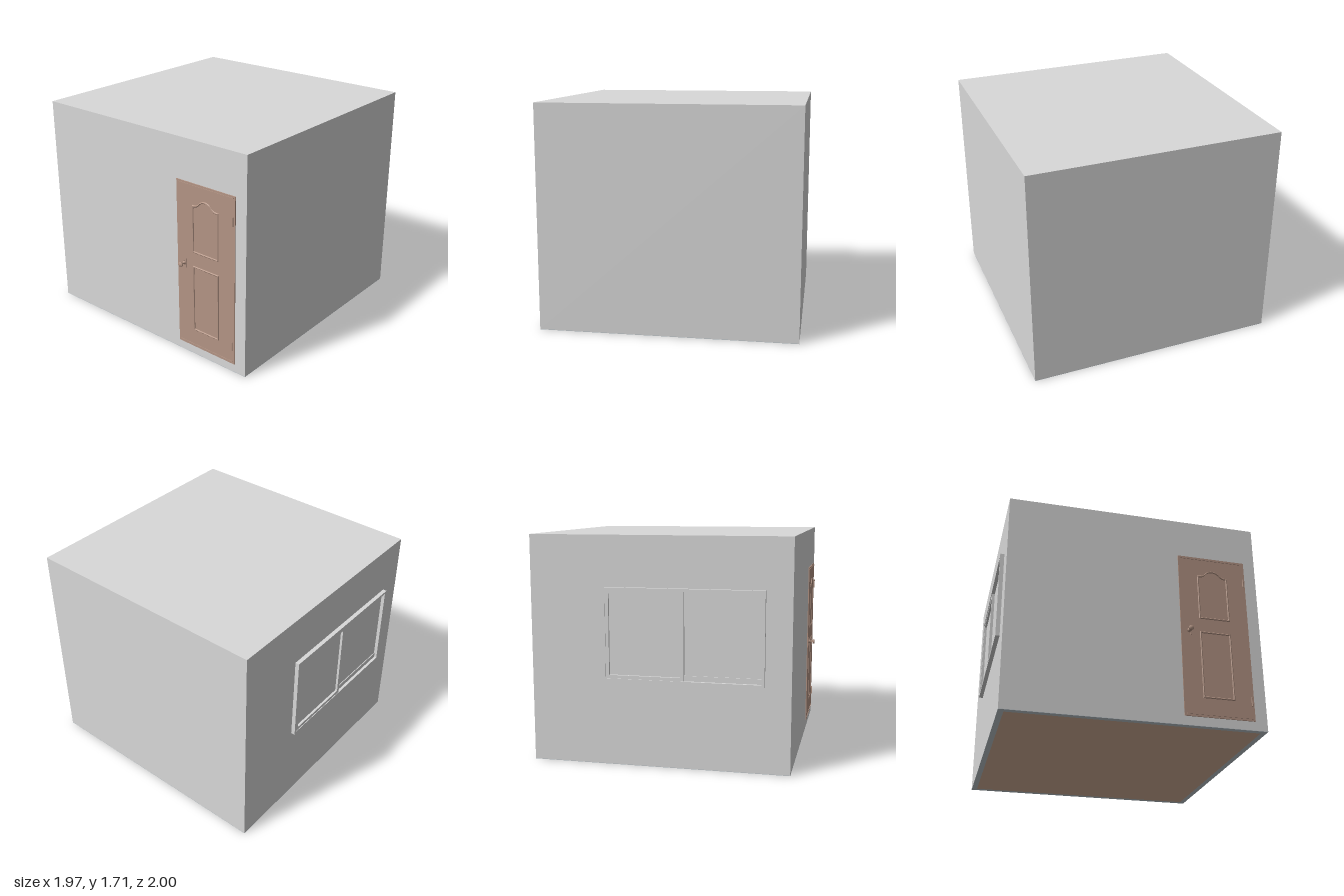
import * as THREE from 'three';

const mat = (name, color) => new THREE.MeshStandardMaterial({ name, color });

export function createModel() {
  const room = new THREE.Group();
  room.name = 'room';
  const wallGrey = mat('wall grey', 0xd9d9d9);
  const doorBrown = mat('door brown', 0xb49585);
  const floorTan = mat('floor tan', 0xd9b59c);
  const slate = mat('pale slate', 0xbfc8ce);

  const add = (parent, name, geometry, material) => {
    const mesh = new THREE.Mesh(geometry, material);
    mesh.name = name;
    parent.add(mesh);
    return mesh;
  };
  // Box given by its minimum and maximum corners
  const box = (parent, name, material, [x0, y0, z0], [x1, y1, z1]) => {
    const m = add(parent, name, new THREE.BoxGeometry(x1 - x0, y1 - y0, z1 - z0), material);
    m.position.set((x0 + x1) / 2, (y0 + y1) / 2, (z0 + z1) / 2);
    return m;
  };
  const group = (name) => {
    const g = new THREE.Group();
    g.name = name;
    room.add(g);
    return g;
  };

  // Walls and flat roof
  const X0 = -0.952, X1 = 0.983, Z0 = -1, Z1 = 0.94, rim = 0.042, base = 0.003;
  box(room, 'walls', wallGrey, [X0, base, Z0], [X1, 1.706, Z1]);

  // Floor, bordered by a slate rim
  box(room, 'floor', floorTan, [X0 + rim, 0, Z0 + rim], [X1 - rim, base, Z1 - rim]);
  const foundation = group('foundation');
  for (const [a, b] of [[Z0, Z0 + rim], [Z1 - rim, Z1]])
    box(foundation, 'foundationEdge', slate, [X0, 0, a], [X1, base, b]);
  for (const [a, b] of [[X0, X0 + rim], [X1 - rim, X1]])
    box(foundation, 'foundationSide', slate, [a, 0, Z0 + rim], [b, base, Z1 - rim]);

  // Door leaf with thin rails
  const door = group('door');
  const face = 0.947;
  box(door, 'doorLeaf', doorBrown, [0.357, 0.07, Z1], [0.89, 1.39, face]);
  for (const y of [0.085, 1.37])
    box(door, 'doorRail', doorBrown, [0.375, y, face], [0.873, y + 0.007, 0.951]);

  // Bevelled panel mouldings: an outline with an inset copy as its hole
  const panelOutline = (target, inset, bottom, top, arch) => {
    const l = 0.503 + inset, r = 0.745 - inset, b = bottom + inset, t = top - inset, c = 0.624;
    target.moveTo(l, b).lineTo(r, b).lineTo(r, t);
    if (arch) {
      target.quadraticCurveTo(c + 0.07, t, c + 0.052, t + 0.028);
      target.quadraticCurveTo(c + 0.03, t + 0.05, c, t + 0.05);
      target.quadraticCurveTo(c - 0.03, t + 0.05, c - 0.052, t + 0.028);
      target.quadraticCurveTo(c - 0.07, t, l, t);
    } else target.lineTo(l, t);
    target.closePath();
    return target;
  };
  for (const [bottom, top, arch] of [[0.215, 0.75, false], [0.857, 1.228, true]]) {
    const shape = panelOutline(new THREE.Shape(), 0, bottom, top, arch);
    shape.holes.push(panelOutline(new THREE.Path(), 0.013, bottom, top, arch));
    const g = new THREE.ExtrudeGeometry(shape, {
      depth: 0.003, bevelThickness: 0.004, bevelSize: 0.004, bevelOffset: -0.004,
      bevelSegments: 1, curveSegments: 8,
    });
    add(door, 'panelMoulding', g, doorBrown).position.z = face;
  }

  // Hinges
  for (const y of [0.22, 1.205]) {
    const hinge = add(door, 'hinge', new THREE.CylinderGeometry(0.005, 0.005, 0.07, 10), doorBrown);
    hinge.position.set(0.873, y, 0.953);
  }

  // Lock plate and turned knob with a flared neck
  box(door, 'lockPlate', doorBrown, [0.43, 0.713, face], [0.438, 0.785, 0.951]);
  const profile = [[0, 0], [0.018, 0], [0.012, 0.008], [0.006, 0.02], [0.006, 0.034],
    [0.018, 0.038], [0.02, 0.044], [0.018, 0.051], [0, 0.053]];
  const knob = add(door, 'doorKnob',
    new THREE.LatheGeometry(profile.map(([x, y]) => new THREE.Vector2(x, y)), 20), doorBrown);
  knob.rotation.x = Math.PI / 2;
  knob.position.set(0.422, 0.75, face);

  // Sliding window on the side wall: outer frame, raised sash and two panes
  const win = group('window');
  const frame = (name, xOut, xIn, y0, y1, z0, z1, w) => {
    for (const y of [y0, y1 - w])
      box(win, name + 'Rail', wallGrey, [xOut, y, z0], [xIn, y + w, z1]);
    for (const z of [z0, z1 - w])
      box(win, name + 'Stile', wallGrey, [xOut, y0 + w, z], [xIn, y1 - w, z + w]);
  };
  frame('windowFrame', -0.983, X0, 0.64, 1.33, -0.44, 0.75, 0.02);
  frame('slidingSash', -0.978, X0, 0.66, 1.31, -0.42, 0.165, 0.025);
  box(win, 'slidingPane', wallGrey, [-0.96, 0.685, -0.395], [-0.956, 1.285, 0.14]);
  box(win, 'fixedPane', wallGrey, [-0.956, 0.7, 0.165], [X0, 1.31, 0.73]);
  box(win, 'fixedPaneRail', wallGrey, [-0.962, 0.66, 0.165], [X0, 0.7, 0.73]);

  return room;
}
